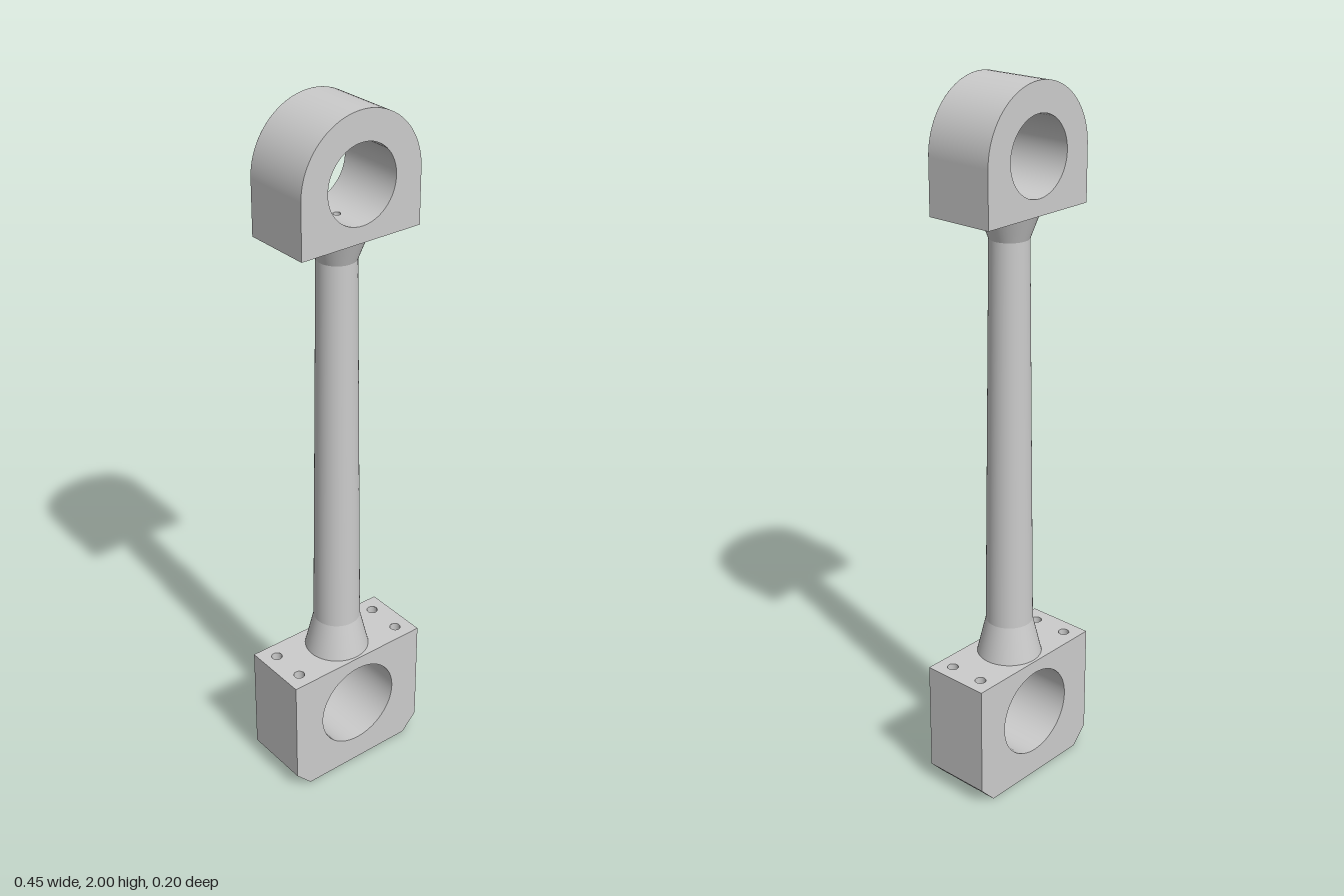
import * as THREE from 'three';
import { ParametricGeometry } from 'three/addons/geometries/ParametricGeometry.js';

const D = 0.1;                                                  // half thickness of both ends
const OIL = 0.01;                                               // oil passage radius
const BIG = { y: 0.207, r: 0.13, w: 0.225, top: 0.374 };
const SMALL = { y: 1.814, r: 0.106, w: 0.186, bottom: 1.663 };
const BOLT = { x: 0.178, z: 0.053, r: 0.0155 };
const CHAMFER = 0.05;
const grey = new THREE.MeshStandardMaterial({ color: 0xcccccc, side: THREE.DoubleSide });

function add(parent, name, geometry, x = 0, y = 0, z = 0) {
  const mesh = new THREE.Mesh(geometry, grey);
  mesh.name = name;
  mesh.position.set(x, y, z);
  parent.add(mesh);
  return mesh;
}

// Height of the underside: flat in the middle, rising along the chamfers
const lift = x => Math.max(0, (Math.abs(x) - BOLT.x) * CHAMFER / (BIG.w - BOLT.x));

function liftVertices(geometry, offsetX, test) {
  const p = geometry.attributes.position;
  for (let i = 0; i < p.count; i++) {
    if (test(p.getY(i))) p.setY(i, lift(p.getX(i) + offsetX));
  }
  return geometry;
}

// Matching front and back faces with the bore cut out
function addFaces(parent, shape, end) {
  shape.holes.push(new THREE.Path().absarc(0, end.y, end.r, 0, Math.PI * 2, true));
  const face = new THREE.ShapeGeometry(shape, 32);
  add(parent, 'frontFace', face, 0, 0, D);
  add(parent, 'backFace', face, 0, 0, -D).rotation.y = Math.PI;
}

// Bore wall; a patch at the bottom (or turned to the top) carries the oil hole
function addBore(parent, end, turn) {
  const gap = Math.PI / 8;
  const bore = new THREE.Group();
  bore.name = 'bore';
  bore.position.y = end.y;
  bore.rotation.z = turn;
  const wall = new THREE.CylinderGeometry(end.r, end.r, 2 * D, 56, 1, true, gap, 2 * (Math.PI - gap));
  add(bore, 'boreWall', wall.rotateX(Math.PI / 2));
  const patch = new ParametricGeometry((u, v, target) => {
    const c = Math.cos(u * Math.PI * 2), s = Math.sin(u * Math.PI * 2);
    const m = Math.max(Math.abs(c), Math.abs(s));
    const a = THREE.MathUtils.lerp(OIL * c, gap * end.r * c / m, v) / end.r;
    target.set(end.r * Math.sin(a), -end.r * Math.cos(a), THREE.MathUtils.lerp(OIL * s, D * s / m, v));
  }, 48, 6);
  add(bore, 'oilHolePatch', patch);
  parent.add(bore);
}

// Half of the underside, split through the bolt hole centres
function undersideStrip(edgeX, inner) {
  const s = new THREE.Shape().moveTo(edgeX, -D).lineTo(BOLT.x, -D);
  for (const z of [-BOLT.z, BOLT.z]) {
    s.lineTo(BOLT.x, z - BOLT.r);
    s.absarc(BOLT.x, z, BOLT.r, -Math.PI / 2, Math.PI / 2, inner);
  }
  s.lineTo(BOLT.x, D).lineTo(edgeX, D).closePath();
  const g = liftVertices(new THREE.ShapeGeometry(s, 12).rotateX(Math.PI / 2), 0, () => true);
  g.computeVertexNormals();
  return g;
}

function createBigEnd() {
  const g = new THREE.Group();
  g.name = 'bigEnd';
  const { w, top } = BIG;
  addFaces(g, new THREE.Shape([[-BOLT.x, 0], [BOLT.x, 0], [w, CHAMFER], [w, top], [-w, top], [-w, CHAMFER]]
    .map(p => new THREE.Vector2(...p))), BIG);
  addBore(g, BIG, Math.PI);

  // Top face with bolt holes
  const plan = new THREE.Shape([[-w, -D], [w, -D], [w, D], [-w, D]].map(p => new THREE.Vector2(...p)));
  for (const x of [-BOLT.x, BOLT.x]) for (const z of [-BOLT.z, BOLT.z]) {
    plan.holes.push(new THREE.Path().absarc(x, z, BOLT.r, 0, Math.PI * 2, true));
    // Hole wall, trimmed to the chamfer at its lower end
    const wall = new THREE.CylinderGeometry(BOLT.r, BOLT.r, top, 24, 1, true).translate(0, top / 2, 0);
    add(g, 'boltHole', liftVertices(wall, x, y => y < top / 2), x, 0, z);
  }
  add(g, 'topFace', new THREE.ShapeGeometry(plan, 24).rotateX(-Math.PI / 2), 0, top);

  // Sides, chamfers and underside
  const side = new THREE.PlaneGeometry(2 * D, top - CHAMFER).rotateY(Math.PI / 2).translate(w, (top + CHAMFER) / 2, 0);
  const inner = undersideStrip(0, true), outer = undersideStrip(w, false);
  for (const turn of [0, Math.PI]) {
    add(g, 'sideFace', side).rotation.y = turn;
    add(g, 'underside', inner).rotation.y = turn;
    add(g, 'chamfer', outer).rotation.y = turn;
  }
  return g;
}

function createSmallEnd() {
  const g = new THREE.Group();
  g.name = 'smallEnd';
  const { y, w, bottom } = SMALL;
  const outline = new THREE.Shape().moveTo(-w, bottom).lineTo(w, bottom).lineTo(w, y);
  outline.absarc(0, y, w, 0, Math.PI, false).closePath();
  addFaces(g, outline, SMALL);
  addBore(g, SMALL, 0);
  // Rounded crown, flat sides and base
  const crown = new THREE.CylinderGeometry(w, w, 2 * D, 32, 1, true, Math.PI / 2, Math.PI);
  add(g, 'crown', crown.rotateX(Math.PI / 2), 0, y);
  const side = new THREE.PlaneGeometry(2 * D, y - bottom).rotateY(Math.PI / 2).translate(w, (y + bottom) / 2, 0);
  for (const turn of [0, Math.PI]) add(g, 'sideFace', side).rotation.y = turn;
  add(g, 'base', new THREE.PlaneGeometry(2 * w, 2 * D).rotateX(Math.PI / 2), 0, bottom);
  return g;
}

function createShank() {
  const g = new THREE.Group();
  g.name = 'shank';
  // Lower flare, tapered rod, upper flare as [radius, height]
  const rings = [[0.092, BIG.top], [0.067, 0.48], [0.054, 1.59], [0.082, SMALL.bottom]];
  ['lowerFlare', 'rod', 'upperFlare'].forEach((name, i) => {
    const [r0, y0] = rings[i], [r1, y1] = rings[i + 1];
    add(g, name, new THREE.CylinderGeometry(r1, r0, y1 - y0, 48, 1, true), 0, (y0 + y1) / 2);
  });
  // Oil passage joining the two bores
  const low = BIG.y + BIG.r, high = SMALL.y - SMALL.r;
  add(g, 'oilPassage', new THREE.CylinderGeometry(OIL, OIL, high - low, 24, 1, true), 0, (low + high) / 2);
  return g;
}

export function createModel() {
  const model = new THREE.Group();
  model.name = 'connectingRod';
  model.add(createBigEnd(), createShank(), createSmallEnd());
  return model;
}
